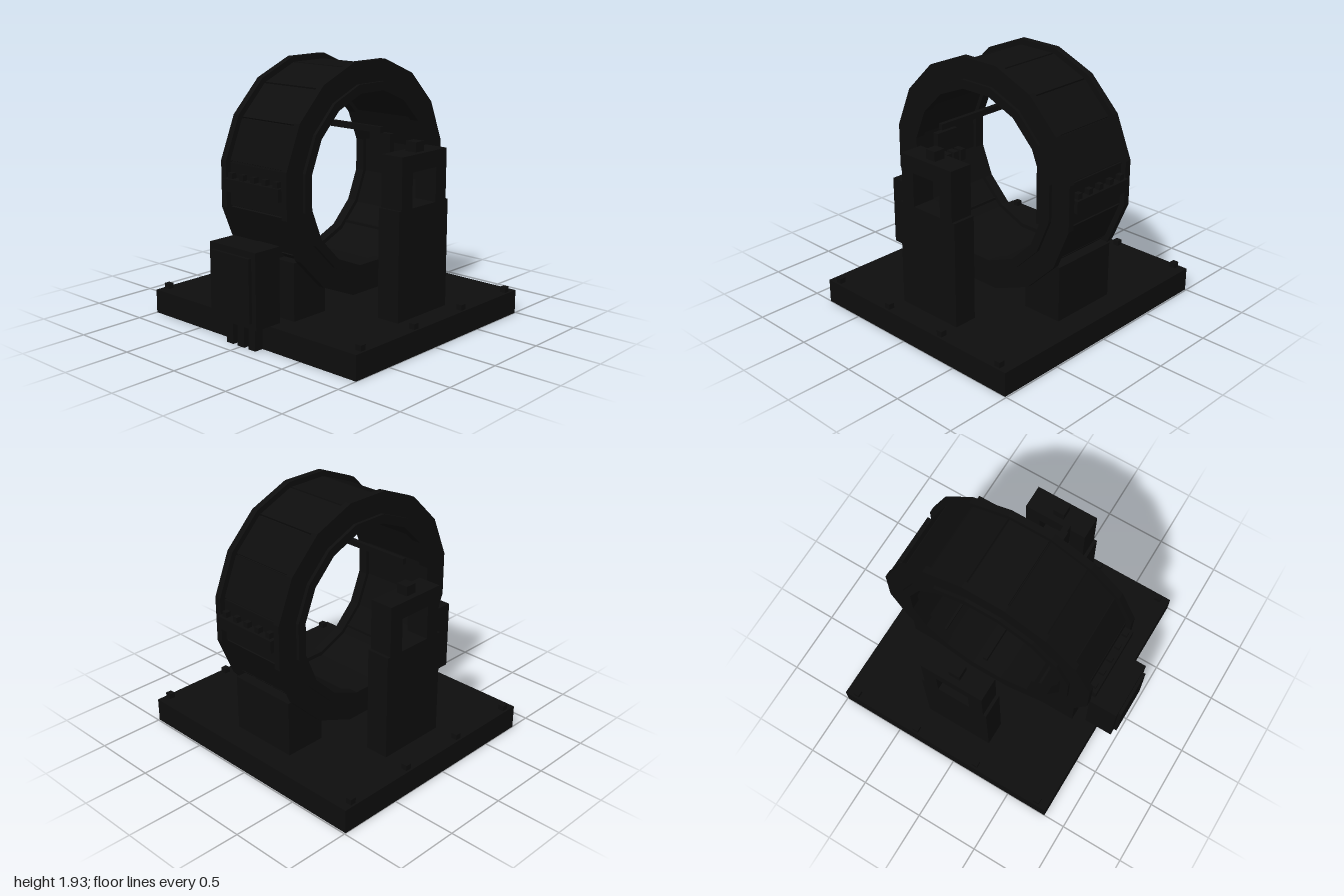
import * as THREE from 'three';

const CX = 0.08, CY = 1.09, SIDES = 16;

export function createModel() {
  const model = new THREE.Group();
  model.name = 'ringMachine';
  const black = new THREE.MeshStandardMaterial({ color: 0x0d0d0d });
  black.name = 'black';

  function add(name, geometry, parent = model) {
    const mesh = new THREE.Mesh(geometry, black);
    mesh.name = name;
    parent.add(mesh);
    return mesh;
  }

  // Box given by its limits on each axis
  function box(name, x0, x1, y0, y1, z0, z1, parent) {
    const mesh = add(name, new THREE.BoxGeometry(x1 - x0, y1 - y0, z1 - z0), parent);
    mesh.position.set((x0 + x1) / 2, (y0 + y1) / 2, (z0 + z1) / 2);
    return mesh;
  }

  // Flat-topped polygon ring; radii are measured to the flats
  function polygon(apothem) {
    const r = apothem / Math.cos(Math.PI / SIDES);
    return Array.from({ length: SIDES }, (_, i) => {
      const a = (i + 0.5) * Math.PI * 2 / SIDES;
      return new THREE.Vector2(Math.cos(a) * r, Math.sin(a) * r);
    });
  }
  function ring(name, outer, inner, z0, z1, parent) {
    const shape = new THREE.Shape(polygon(outer));
    shape.holes.push(new THREE.Path(polygon(inner)));
    const mesh = add(name, new THREE.ExtrudeGeometry(shape, { depth: z1 - z0, bevelEnabled: false }), parent);
    mesh.position.z = z0;
    return mesh;
  }

  // Base slab and its hold-down bolts
  box('base', -0.83, 0.99, 0, 0.18, -1, 1);
  for (const x of [-0.74, -0.19, 0.35, 0.9]) {
    for (const z of [-0.96, 0.96]) {
      box('baseBolt', x - 0.023, x + 0.023, 0.18, 0.22, z - 0.023, z + 0.023);
    }
  }

  // Large ring housing
  const housing = new THREE.Group();
  housing.name = 'ringHousing';
  housing.position.set(CX, CY, 0);
  model.add(housing);
  ring('ringBody', 0.785, 0.65, -0.27, 0.27, housing);
  for (const s of [-1, 1]) {
    const span = (a, b) => (s > 0 ? [a, b] : [-b, -a]);
    ring('outerFlange', 0.84, 0.62, ...span(0.27, 0.32), housing);
    ring('innerFlange', 0.685, 0.62, ...span(0.32, 0.345), housing);
  }

  // Cover panels with narrow seams at the corners
  const panelWidth = 2 * 0.785 * Math.tan(Math.PI / SIDES) - 0.008;
  for (let i = 0; i < SIDES; i++) {
    const a = i * Math.PI * 2 / SIDES;
    const panel = add('coverPanel', new THREE.BoxGeometry(0.03, panelWidth, 0.54), housing);
    panel.position.set(Math.cos(a) * 0.785, Math.sin(a) * 0.785, 0);
    panel.rotation.z = a;
  }

  // Split-line bars with bolts, and the supporting feet
  for (const s of [-1, 1]) {
    const span = (a, b) => (s > 0 ? [a, b] : [-b, -a]);
    box('splitBar', ...span(0.78, 0.87), -0.04, 0.05, -0.27, 0.27, housing);
    for (let i = 0; i < 5; i++) {
      const z = -0.22 + i * 0.11;
      box('splitBolt', ...span(0.81, 0.85), 0.05, 0.09, z - 0.02, z + 0.02, housing);
    }
    box('ringFoot', ...span(0.41, 0.725), 0.18 - CY, 0.6 - CY, -0.27, 0.27, housing);
  }

  // Bearing pedestals: solid foot, open frame and cap
  for (const [name, z] of [['frontPedestal', 0.73], ['rearPedestal', -0.68]]) {
    const pedestal = new THREE.Group();
    pedestal.name = name;
    pedestal.position.set(CX, 0, z);
    model.add(pedestal);
    box('pedestalFoot', -0.27, 0.27, 0.18, 0.97, -0.09, 0.09, pedestal);
    box('frameLeft', 0.13, 0.245, 0.97, 1.34, -0.09, 0.09, pedestal);
    box('frameRight', -0.245, -0.13, 0.97, 1.34, -0.09, 0.09, pedestal);
    box('frameTop', -0.13, 0.13, 1.22, 1.34, -0.09, 0.09, pedestal);
    box('pedestalCap', -0.043, 0.043, 1.34, 1.41, -0.045, 0.045, pedestal);
  }

  // Brush rod, holder and brushes
  box('brushRod', -0.073, -0.04, 1.46, 1.503, -0.54, 0.55);
  box('brushHolder', -0.055, -0.01, 1.185, 1.46, 0.435, 0.62);
  for (const z of [0.45, 0.515, 0.58]) {
    box('brush', -0.01, 0.06, 1.24, 1.32, z - 0.022, z + 0.022);
  }

  // Terminal cabinet with door, connecting duct and conduits
  box('cabinet', -0.965, -0.74, 0.185, 0.73, -0.225, 0.225);
  box('cabinetDoor', -0.99, -0.965, 0.23, 0.685, -0.185, 0.185);
  box('cabinetDuct', -0.74, -0.53, 0.595, 0.685, -0.1, 0.1);
  box('cabinetBracket', -0.74, -0.717, 0.18, 0.22, -0.1, 0.1);
  for (const z of [-0.11, 0, 0.11]) {
    box('conduit', -0.9, -0.83, 0, 0.185, z - 0.033, z + 0.033);
  }

  return model;
}
